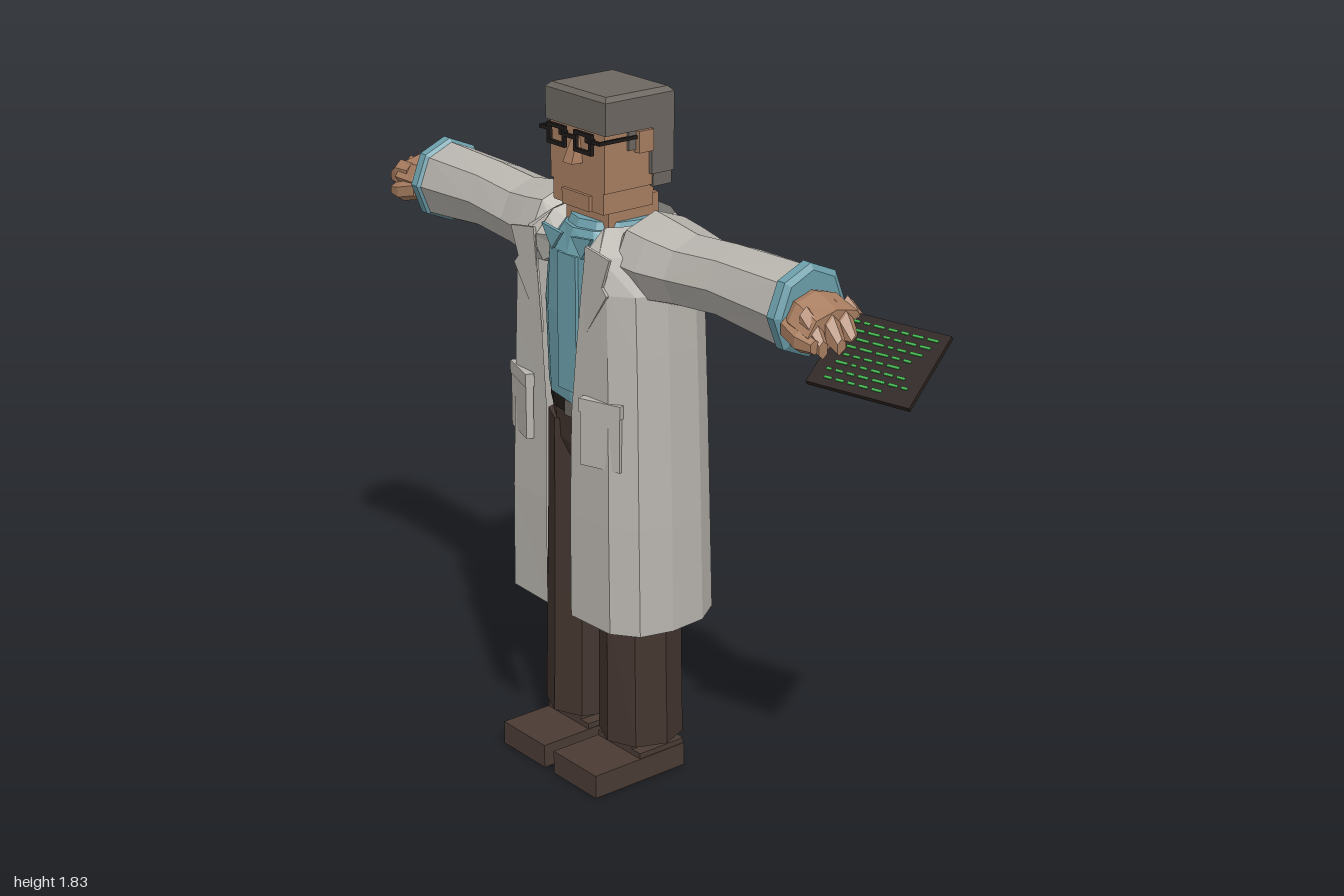
import * as THREE from 'three';

const mat = (name, color, side = THREE.FrontSide) =>
  new THREE.MeshStandardMaterial({ name, color, flatShading: true, side });

const M = {
  coat: mat('coat grey', 0xb8b4ae, THREE.DoubleSide),
  shirt: mat('shirt blue', 0x6c9fab, THREE.DoubleSide),
  skin: mat('skin', 0xa87d60),
  hair: mat('hair grey', 0x6c6760),
  trousers: mat('trouser brown', 0x43352f),
  shoes: mat('shoe brown', 0x4a3b34),
  black: mat('black', 0x1f1b19),
  tablet: mat('tablet dark', 0x2c2320),
  green: mat('text green', 0x3fb04c),
};

function add(parent, name, geometry, material, x = 0, y = 0, z = 0) {
  const mesh = new THREE.Mesh(geometry, material);
  mesh.name = name;
  mesh.position.set(x, y, z);
  parent.add(mesh);
  return mesh;
}

// box given by its min and max on each axis
const block = (parent, name, material, [x0, x1], [y0, y1], [z0, z1]) =>
  add(parent, name, new THREE.BoxGeometry(x1 - x0, y1 - y0, z1 - z0), material,
    (x0 + x1) / 2, (y0 + y1) / 2, (z0 + z1) / 2);

// skin over a stack of rings; closed rings get end caps
function loft(rings, closed = true) {
  const n = rings[0].length, pos = rings.flat(2), idx = [];
  for (let i = 0; i < rings.length - 1; i++)
    for (let j = 0; j < (closed ? n : n - 1); j++) {
      const k = (j + 1) % n, a = i * n + j, b = i * n + k;
      idx.push(a, a + n, b + n, a, b + n, b);
    }
  if (closed) {
    const last = (rings.length - 1) * n;
    for (let j = 1; j < n - 1; j++) idx.push(0, j, j + 1, last, last + j + 1, last + j);
  }
  const g = new THREE.BufferGeometry();
  g.setAttribute('position', new THREE.Float32BufferAttribute(pos, 3));
  g.setIndex(idx);
  g.computeVertexNormals();
  return g;
}

// elliptical ring at height y
const ring = (y, cx, cz, rx, rz, n = 8) => Array.from({ length: n }, (_, i) => {
  const t = (i / n) * Math.PI * 2;
  return [cx + rx * Math.cos(t), y, cz + rz * Math.sin(t)];
});

// limb running along +x; rows are [x, centreY, centreZ, radiusY, radiusZ]
const limb = (rows, n = 8) =>
  loft(rows.map(([x, cy, cz, ry, rz]) => ring(x, -cy, cz, ry, rz, n))).rotateZ(-Math.PI / 2);

function buildHand(side, curled) {
  const hand = new THREE.Group();
  hand.name = 'hand';
  const drop = curled ? 0.02 : 0;
  add(hand, 'palm', limb([
    [0.7, 1.43, -0.02, 0.05, 0.06], [0.76, 1.43, -0.015, 0.058, 0.088],
    [0.83, 1.43 - drop, -0.015, 0.05, 0.09]]), M.skin);
  const end = curled ? 0.865 : 0.89;
  for (let i = 0; i < 4; i++) {
    const z = -0.085 + i * 0.043, tip = end - (i === 0 || i === 3 ? 0.015 : 0);
    add(hand, 'finger', limb([
      [0.79, 1.435, z, 0.036, 0.023], [tip - 0.03, 1.43 - drop, z, 0.04, 0.024],
      [tip, 1.42 - drop * 2, z, 0.022, 0.015]], 6), M.skin);
  }
  add(hand, 'thumb', limb([
    [0.74, 1.41, 0.055, 0.028, 0.025], [0.8, 1.395, 0.068, 0.028, 0.024],
    [0.845, 1.39, 0.065, 0.018, 0.016]], 6), M.skin);
  side.add(hand);
}

// one half of the body: arm, leg, shoe, pocket and lapel
function buildSide(curled) {
  const side = new THREE.Group();
  side.name = curled ? 'leftSide' : 'rightSide';

  add(side, 'sleeve', limb([
    [0.11, 1.43, -0.02, 0.06, 0.09], [0.17, 1.432, -0.02, 0.113, 0.13],
    [0.24, 1.427, -0.02, 0.108, 0.125], [0.33, 1.427, -0.02, 0.094, 0.108],
    [0.48, 1.438, -0.02, 0.094, 0.1], [0.71, 1.43, -0.022, 0.108, 0.104]]), M.coat);
  add(side, 'cuff', limb([
    [0.695, 1.432, -0.022, 0.105, 0.1], [0.705, 1.432, -0.022, 0.115, 0.112],
    [0.73, 1.432, -0.022, 0.115, 0.112], [0.74, 1.432, -0.022, 0.1, 0.095]]), M.shirt);
  buildHand(side, curled);

  add(side, 'trouserLeg', loft([
    ring(0.1, 0.115, -0.02, 0.11, 0.113), ring(0.46, 0.111, -0.02, 0.105, 0.11),
    ring(0.75, 0.103, -0.02, 0.1, 0.113), ring(0.95, 0.098, -0.02, 0.1, 0.115)]), M.trousers);
  block(side, 'ankle', M.shoes, [0.055, 0.165], [0.06, 0.11], [-0.085, 0.05]);
  block(side, 'shoe', M.shoes, [0.02, 0.2], [0, 0.065], [-0.1, 0.2]);
  block(side, 'shoeHeel', M.shoes, [0.022, 0.198], [0.06, 0.08], [-0.098, 0.05]);

  const pocket = new THREE.Group();
  pocket.name = 'pocket';
  pocket.position.set(0.165, 0.99, 0.147);
  pocket.rotation.y = 0.32;
  add(pocket, 'pouch', new THREE.BoxGeometry(0.118, 0.17, 0.02), M.coat);
  add(pocket, 'pocketHem', new THREE.BoxGeometry(0.124, 0.035, 0.024), M.coat, 0, 0.075, 0);
  side.add(pocket);

  const lapel = new THREE.Shape([[0.105, 1.47], [0.2, 1.455], [0.17, 1.38], [0.188, 1.36],
    [0.075, 1.2]].map(([x, y]) => new THREE.Vector2(x, y)).reverse());
  add(side, 'lapel', new THREE.ExtrudeGeometry(lapel, { depth: 0.008, bevelEnabled: false }),
    M.coat, 0, 0, 0.142);
  const point = new THREE.Shape([[0.02, 1.47], [0.06, 1.42], [0.1, 1.48]]
    .map(([x, y]) => new THREE.Vector2(x, y)));
  add(side, 'shirtCollarPoint', new THREE.ExtrudeGeometry(point, { depth: 0.01, bevelEnabled: false }),
    M.shirt, 0, 0, 0.118);
  return side;
}

// open coat; rows are [y, halfWidth, frontZ, backZ, halfGap]
function buildCoat(body) {
  const rows = [
    [0.46, 0.29, 0.16, -0.2, 0.05], [0.75, 0.284, 0.16, -0.192, 0.05],
    [1.02, 0.275, 0.155, -0.187, 0.052], [1.2, 0.268, 0.152, -0.183, 0.07],
    [1.36, 0.26, 0.15, -0.18, 0.09], [1.45, 0.21, 0.146, -0.178, 0.1],
    [1.505, 0.135, 0.09, -0.165, 0.105]];
  const rings = rows.map(([y, w, f, b, gap]) => {
    const half = [[gap, f], [Math.max(gap, w * 0.7), f * 0.96], [w * 0.92, f * 0.66], [w, f * 0.1],
      [w * 0.97, b * 0.45], [w * 0.8, b * 0.82], [w * 0.45, b * 0.97]];
    return [...half.map(([x, z]) => [-x, y, z]), [0, y, b], ...half.reverse().map(([x, z]) => [x, y, z])];
  });
  add(body, 'coat', loft(rings, false), M.coat);
}

function buildHead(body) {
  const head = new THREE.Group();
  head.name = 'head';
  block(head, 'neck', M.skin, [-0.085, 0.085], [1.42, 1.56], [-0.1, 0.06]);
  block(head, 'face', M.skin, [-0.108, 0.108], [1.59, 1.75], [-0.1, 0.09]);
  block(head, 'jaw', M.skin, [-0.1, 0.1], [1.535, 1.6], [-0.07, 0.088]);
  block(head, 'chin', M.skin, [-0.055, 0.055], [1.535, 1.575], [0.08, 0.097]);
  add(head, 'nose', loft([
    [[0.022, 1.652, 0.085], [0.018, 1.652, 0.122], [-0.018, 1.652, 0.122], [-0.022, 1.652, 0.085]],
    [[0.012, 1.715, 0.085], [0.01, 1.715, 0.098], [-0.01, 1.715, 0.098], [-0.012, 1.715, 0.085]]]), M.skin);
  // hair cap with a small bevel on top, and hair down the back
  const square = (y, x, f, b) => [[x, y, b], [x, y, f], [-x, y, f], [-x, y, b]];
  add(head, 'hairCap', loft([square(1.738, 0.12, 0.096, -0.12), square(1.82, 0.12, 0.096, -0.12),
    square(1.832, 0.108, 0.085, -0.108)]), M.hair);
  block(head, 'backHair', M.hair, [-0.12, 0.12], [1.62, 1.74], [-0.12, -0.05]);
  block(head, 'napeHair', M.hair, [-0.112, 0.112], [1.585, 1.625], [-0.118, -0.06]);
  for (const s of [-1, 1]) {
    const mid = (name, m, x, y, z, w, h, d) => add(head, name, new THREE.BoxGeometry(w, h, d), m, s * x, y, z);
    mid('sideburn', M.hair, 0.11, 1.715, 0.008, 0.012, 0.05, 0.025);
    mid('ear', M.skin, 0.117, 1.71, -0.025, 0.024, 0.055, 0.045);
    mid('eye', M.black, 0.053, 1.714, 0.091, 0.035, 0.016, 0.006);
    for (const dy of [-0.022, 0.022]) mid('glassesRim', M.black, 0.053, 1.713 + dy, 0.112, 0.07, 0.01, 0.01);
    for (const dx of [-0.03, 0.03]) mid('glassesRim', M.black, 0.053 + dx, 1.713, 0.112, 0.01, 0.05, 0.01);
    mid('glassesTemple', M.black, 0.117, 1.722, 0.05, 0.007, 0.009, 0.13);
    mid('glassesHinge', M.black, 0.1, 1.722, 0.112, 0.04, 0.009, 0.008);
  }
  block(head, 'glassesBridge', M.black, [-0.025, 0.025], [1.715, 1.724], [0.107, 0.117]);
  body.add(head);
}

// tilted tablet with rows of green dashes
function buildTablet() {
  const tablet = new THREE.Group();
  tablet.name = 'tablet';
  add(tablet, 'tabletSlab', new THREE.BoxGeometry(0.27, 0.216, 0.012), M.tablet);
  let seed = 7;
  const rand = () => (seed = (seed * 16807) % 2147483647) / 2147483647;
  for (let r = 0; r < 8; r++) {
    let x = -0.11 + 0.03 * rand();
    const end = 0.02 + 0.09 * rand();
    while (x < end) {
      const w = 0.012 + 0.022 * rand();
      add(tablet, 'textDash', new THREE.BoxGeometry(w, 0.007, 0.003), M.green,
        x + w / 2, 0.084 - r * 0.024, 0.007);
      x += w + 0.01;
    }
  }
  const u = new THREE.Vector3(0.26, -0.01, -0.075).normalize();
  const n = u.clone().cross(new THREE.Vector3(-0.04, 0.12, -0.175)).normalize();
  const basis = new THREE.Matrix4().makeBasis(u, n.clone().cross(u), n);
  tablet.quaternion.setFromRotationMatrix(basis);
  tablet.position.set(0.84, 1.366, -0.036);
  return tablet;
}

export function createModel() {
  const model = new THREE.Group();
  model.name = 'scientist';
  const body = new THREE.Group();
  body.name = 'body';
  body.position.x = -0.11;
  model.add(body);

  const right = buildSide(false);
  right.scale.x = -1;
  body.add(buildSide(true), right);

  // torso layers
  add(body, 'hips', loft([ring(0.84, 0, -0.02, 0.15, 0.1, 12), ring(0.9, 0, -0.02, 0.2, 0.12, 12),
    ring(0.99, 0, -0.02, 0.2, 0.125, 12)]), M.trousers);
  add(body, 'belt', loft([ring(0.985, 0, -0.02, 0.205, 0.131, 12), ring(1.03, 0, -0.02, 0.205, 0.131, 12)]), M.black);
  block(body, 'buckle', M.hair, [-0.025, 0.025], [0.985, 1.025], [0.105, 0.118]);
  add(body, 'shirt', loft([ring(1.025, 0, -0.02, 0.208, 0.138, 12), ring(1.25, 0, -0.02, 0.215, 0.145, 12),
    ring(1.42, 0, -0.02, 0.19, 0.146, 12), ring(1.485, 0, -0.025, 0.115, 0.13, 12)]), M.shirt);
  block(body, 'shirtPlacket', M.shirt, [-0.037, 0.037], [1.06, 1.42], [0.115, 0.128]);
  add(body, 'shirtCollar', loft([ring(1.47, 0, -0.025, 0.12, 0.125, 12),
    ring(1.505, 0, -0.025, 0.105, 0.11, 12)]), M.shirt);
  buildCoat(body);
  buildHead(body);
  model.add(buildTablet());
  return model;
}
